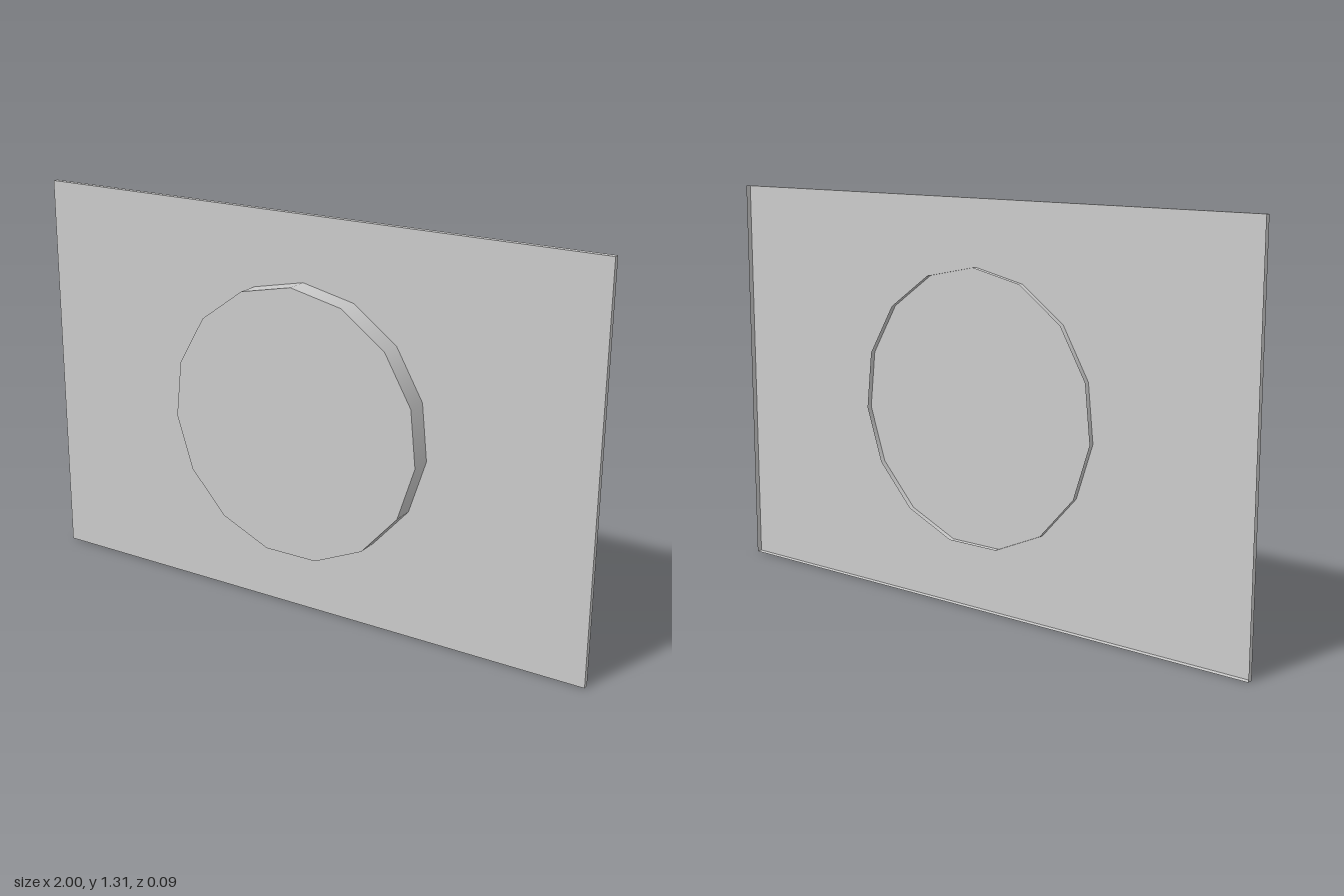
import * as THREE from 'three';

const material = new THREE.MeshStandardMaterial({ color: 0xcccccc, side: THREE.DoubleSide });

// Remove the last face group (the back of a box, the bottom cap of a cylinder)
function openBack(geometry) {
  const { start } = geometry.groups.at(-1);
  geometry.setIndex([...geometry.index.array.slice(0, start)]);
  geometry.clearGroups();
  return geometry;
}

function addPart(group, name, geometry, x, y, z) {
  const mesh = new THREE.Mesh(geometry, material);
  mesh.name = name;
  mesh.position.set(x, y, z);
  group.add(mesh);
}

export function createModel() {
  const group = new THREE.Group();
  group.name = 'panelWithDisc';
  const back = -0.045, height = 1.314, thickness = 0.018, discDepth = 0.09;

  // Thin rectangular panel, open at the back
  const panel = openBack(new THREE.BoxGeometry(2, height, thickness));
  addPart(group, 'panel', panel, 0, height / 2, back + thickness / 2);

  // 15-sided disc passing through the panel, one corner at the top, open at the back
  const disc = openBack(
    new THREE.CylinderGeometry(0.449, 0.449, discDepth, 15, 1, false, Math.PI)
  ).rotateX(Math.PI / 2);
  addPart(group, 'disc', disc, 0, 0.652, back + discDepth / 2);

  return group;
}
